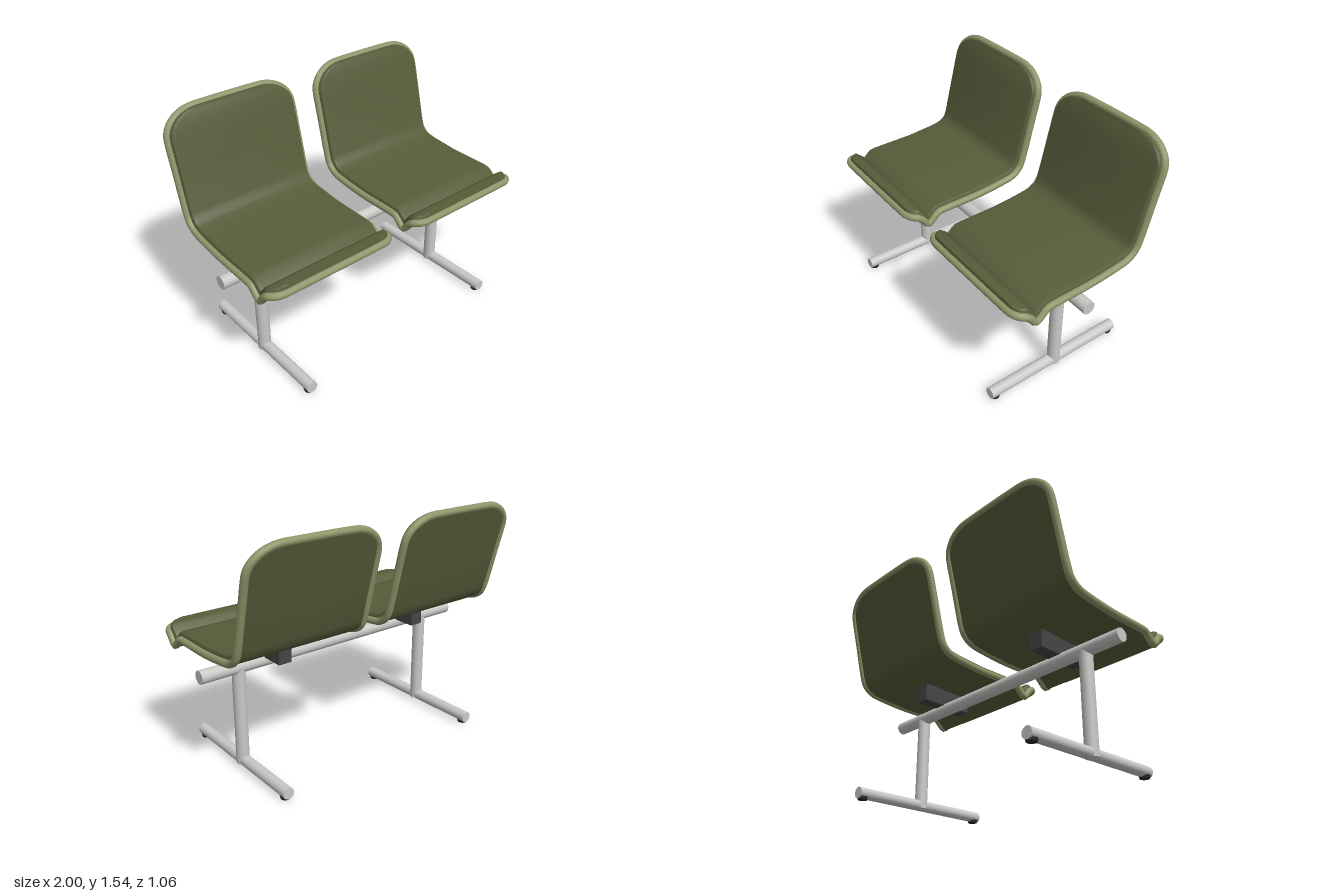
import * as THREE from 'three';
import { toCreasedNormals } from 'three/addons/utils/BufferGeometryUtils.js';

const mat = (name, color) => {
  const m = new THREE.MeshStandardMaterial({ color });
  m.name = name;
  return m;
};

// Seat centreline from front lip to top of back, as [z, y]
const PROFILE = [
  [0.508, 0.82], [0.455, 0.812], [0.43, 0.79], [0.39, 0.742], [0.375, 0.742], [0.31, 0.798], [0.28, 0.802],
  [0.0, 0.806], [-0.18, 0.822], [-0.26, 0.835], [-0.305, 0.858], [-0.335, 0.89], [-0.352, 0.93],
  [-0.422, 1.2], [-0.503, 1.513],
].map(([z, y]) => new THREE.Vector2(z, y));

const HALF_WIDTH = 0.431;
const FRONT = { rx: 0.09, ry: 0.07 };
const BACK = { rx: 0.21, ry: 0.16 };

// Distance along the profile and mitred upward normal at every knot
const dist = [0];
for (let i = 1; i < PROFILE.length; i++) dist.push(dist[i - 1] + PROFILE[i].distanceTo(PROFILE[i - 1]));
const LENGTH = dist[dist.length - 1];
const segNormal = (i) => {
  const t = PROFILE[i + 1].clone().sub(PROFILE[i]).normalize();
  return new THREE.Vector2(t.y, -t.x);
};
const MITRE = PROFILE.map((_, i) => {
  const a = segNormal(Math.max(i - 1, 0));
  const b = segNormal(Math.min(i, PROFILE.length - 2));
  const m = a.clone().add(b).normalize();
  return m.divideScalar(m.dot(a));
});

// Point on the seat at distance s, raised by h, at sideways position x
function seatPoint(s, h, x) {
  let i = 0;
  while (i < dist.length - 2 && s > dist[i + 1]) i++;
  const f = (s - dist[i]) / (dist[i + 1] - dist[i]);
  const p = PROFILE[i].clone().lerp(PROFILE[i + 1], f);
  const n = MITRE[i].clone().lerp(MITRE[i + 1], f);
  return new THREE.Vector3(x, p.y + h * n.y, p.x + h * n.x);
}

// Half width of the rounded outline at distance s
function halfWidth(s) {
  const inset = (d, { rx, ry }) => (d >= ry ? 0 : rx * (1 - Math.sqrt(Math.max(0, 1 - (1 - d / ry) ** 2))));
  return HALF_WIDTH - inset(s, FRONT) - inset(LENGTH - s, BACK);
}

// Rows: the profile knots plus extra steps round both ends
const rows = [...dist];
for (let k = 1; k <= 8; k++) {
  const f = 1 - Math.cos((k / 8) * Math.PI / 2);
  rows.push(FRONT.ry * f, LENGTH - BACK.ry * f);
}
rows.sort((a, b) => a - b);
const ROWS = rows.filter((s, i) => i === 0 || s - rows[i - 1] > 0.0008);

// Padded shell lofted along the profile
function cushionGeometry() {
  const pos = [];
  const index = [];
  const n = 8;
  ROWS.forEach((s) => {
    const w = halfWidth(s) - 0.004;
    const section = [
      [-w, -0.012], [w, -0.012], [w, 0.03], [w - 0.008, 0.041],
      [w - 0.03, 0.046], [-w + 0.03, 0.046], [-w + 0.008, 0.041], [-w, 0.03],
    ];
    section.forEach(([x, h]) => pos.push(...seatPoint(s, h, x).toArray()));
  });
  for (let i = 0; i < ROWS.length - 1; i++) {
    for (let j = 0; j < n; j++) {
      const a = i * n + j;
      const b = i * n + ((j + 1) % n);
      index.push(a, a + n, b, b, a + n, b + n);
    }
  }
  const last = (ROWS.length - 1) * n;
  for (let k = 1; k < n - 1; k++) {
    index.push(0, k, k + 1);
    index.push(last, last + k + 1, last + k);
  }
  const g = new THREE.BufferGeometry();
  g.setAttribute('position', new THREE.Float32BufferAttribute(pos, 3));
  g.setIndex(index);
  return toCreasedNormals(g, 0.65);
}

// Rounded edging that follows the whole outline
function edgingGeometry() {
  const side = (sign) => ROWS.map((s) => seatPoint(s, 0, sign * halfWidth(s)));
  const path = new THREE.CatmullRomCurve3([...side(1), ...side(-1).reverse()], true, 'centripetal');
  path.arcLengthDivisions = 1500;
  return new THREE.TubeGeometry(path, 260, 0.023, 12, true);
}

export function createModel() {
  const olive = mat('olive upholstery', 0x585c3a);
  const sage = mat('sage edging', 0x8c9669);
  const steel = mat('light grey steel', 0xc8c8c6);
  const charcoal = mat('charcoal bracket', 0x444444);
  const rubber = mat('black rubber', 0x2a2a2a);

  const model = new THREE.Group();
  model.name = 'twoSeatBench';
  const add = (parent, name, geometry, material, x = 0, y = 0, z = 0) => {
    const mesh = new THREE.Mesh(geometry, material);
    mesh.name = name;
    mesh.position.set(x, y, z);
    parent.add(mesh);
    return mesh;
  };

  const cushion = cushionGeometry();
  const edging = edgingGeometry();
  const beamZ = 0.03;

  // Cross beam
  add(model, 'beam', new THREE.CylinderGeometry(0.042, 0.042, 2, 28), steel, 0, 0.662, beamZ).rotation.z = Math.PI / 2;

  for (const [label, sign] of [['left', 1], ['right', -1]]) {
    // Seat with its mounting bracket
    const seat = new THREE.Group();
    seat.name = label + 'Seat';
    seat.position.x = sign * 0.532;
    add(seat, 'cushion', cushion, olive);
    add(seat, 'edging', edging, sage);
    add(seat, 'bracket', new THREE.BoxGeometry(0.088, 0.115, 0.365), charcoal, 0, 0.7425, 0.0275);
    model.add(seat);

    // Post, floor bar and feet
    const leg = new THREE.Group();
    leg.name = label + 'Leg';
    leg.position.x = sign * 0.742;
    add(leg, 'post', new THREE.CylinderGeometry(0.041, 0.041, 0.63, 28), steel, 0, 0.335, beamZ);
    add(leg, 'floorBar', new THREE.CylinderGeometry(0.036, 0.036, 0.99, 28), steel, 0, 0.042, beamZ).rotation.x = Math.PI / 2;
    for (const z of [0.49, -0.43]) {
      add(leg, 'foot', new THREE.CylinderGeometry(0.034, 0.03, 0.018, 20), rubber, 0, 0.009, z);
    }
    model.add(leg);
  }
  return model;
}
